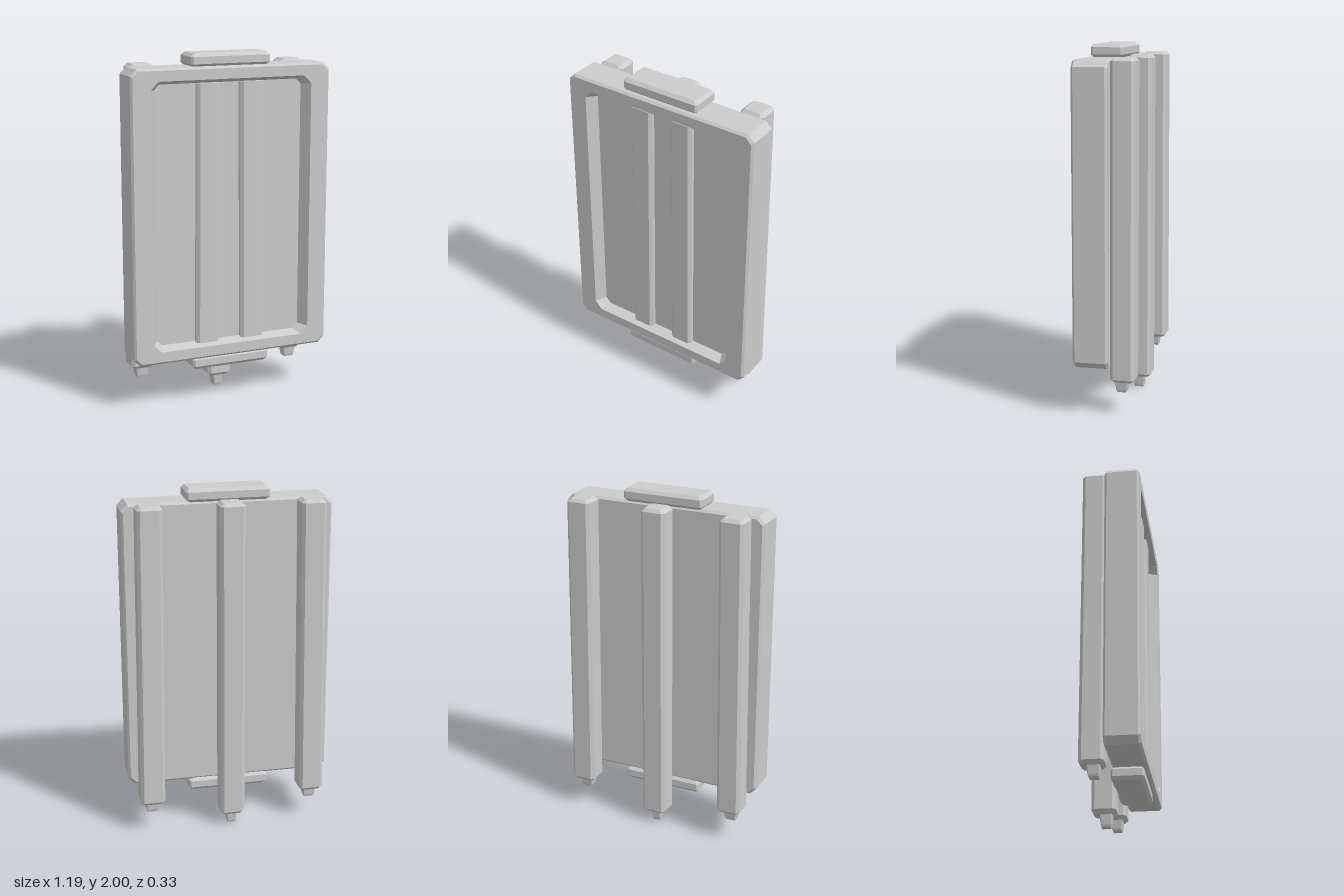
import * as THREE from 'three';

// Corners of a rectangle with cut corners, counter-clockwise: half width, half height, corner cut
function octagon(cx, cy, w, h, c) {
  return [
    [w, c - h], [w, h - c], [w - c, h], [c - w, h],
    [-w, h - c], [-w, c - h], [c - w, -h], [w - c, -h],
  ].map(([x, y]) => [cx + x, cy + y]);
}

// Skin a list of rings [z, cx, cy, halfW, halfH, cut] and close both ends
function loft(rings) {
  const pos = [], idx = [], n = 8;
  for (const [z, ...r] of rings) for (const [x, y] of octagon(...r)) pos.push(x, y, z);
  for (let k = 0; k < rings.length - 1; k++) {
    for (let i = 0; i < n; i++) {
      const a = k * n + i, b = k * n + (i + 1) % n;
      idx.push(a, b, b + n, a, b + n, a + n);
    }
  }
  const last = (rings.length - 1) * n;
  for (let i = 1; i < n - 1; i++) {
    idx.push(0, i + 1, i, last, last + i, last + i + 1);
  }
  const g = new THREE.BufferGeometry();
  g.setAttribute('position', new THREE.Float32BufferAttribute(pos, 3));
  g.setIndex(idx);
  const flat = g.toNonIndexed();
  flat.computeVertexNormals();
  return flat;
}

// Same skin running upwards: rings [y, x, z, halfWidth, halfDepth, cut]
function loftUp(rings) {
  return loft(rings.map(([y, x, z, ...r]) => [y, x, -z, ...r])).rotateX(-Math.PI / 2);
}

export function createModel() {
  const model = new THREE.Group();
  model.name = 'panelWithStakes';
  const grey = new THREE.MeshStandardMaterial({ color: 0xcccccc });
  grey.name = 'plain grey';
  const add = (name, geometry) => {
    const mesh = new THREE.Mesh(geometry, grey);
    mesh.name = name;
    model.add(mesh);
  };

  // Bevelled panel whose front sinks into a sloped tray
  const cy = 1.097;
  add('panel', loft([
    [-0.03, 0, cy, 0.583, 0.82, 0.033],
    [-0.018, 0, cy, 0.595, 0.832, 0.037],
    [0.153, 0, cy, 0.595, 0.832, 0.037],
    [0.165, 0, cy, 0.583, 0.82, 0.033],
    [0.165, 0, cy, 0.48, 0.762, 0.045],
    [0.105, 0, cy, 0.442, 0.74, 0.03],
  ]));

  // Two slightly slanted ribs on the tray floor
  const ribs = [['rightRib', -0.13, -0.14], ['leftRib', 0.127, 0.136]];
  for (const [name, top, bottom] of ribs) {
    const z = 0.105;
    add(name, loftUp([
      [0.35, bottom, z, 0.07, 0.033, 0.018],
      [1.837, top, z, 0.07, 0.033, 0.018],
    ]));
  }

  // Bevelled plates above and below the panel
  for (const [name, y] of [['topPlate', 1.962], ['bottomPlate', 0.232]]) {
    add(name, loftUp([
      [y - 0.038, 0, 0.053, 0.218, 0.073, 0.008],
      [y - 0.02, 0, 0.053, 0.236, 0.091, 0.012],
      [y + 0.02, 0, 0.053, 0.236, 0.091, 0.012],
      [y + 0.038, 0, 0.053, 0.218, 0.073, 0.008],
    ]));
  }

  // Three back stakes with blunt tapered tips
  const stakes = [
    ['rightStake', -0.457, -0.476, 0.18, 0.12, 0.041],
    ['middleStake', 0, 0, 0.07, 0, 0.033],
    ['leftStake', 0.457, 0.472, 0.18, 0.12, 0.041],
  ];
  for (const [name, top, bottom, y, tipY, tipW] of stakes) {
    const z = -0.097, zt = -0.088;
    add(name, loftUp([
      [y, bottom, z, 0.05, 0.05, 0.008],
      [y + 0.018, bottom, z, 0.071, 0.067, 0.018],
      [1.92, top, z, 0.071, 0.067, 0.018],
      [1.938, top, z, 0.05, 0.05, 0.008],
    ]));
    add(name + 'Tip', loftUp([
      [tipY, bottom, zt, tipW - 0.012, 0.025, 0.003],
      [tipY + 0.012, bottom, zt, tipW - 0.008, 0.029, 0.004],
      [y + 0.01, bottom, zt, tipW, 0.036, 0.005],
    ]));
  }

  grey.flatShading = true;
  return model;
}
